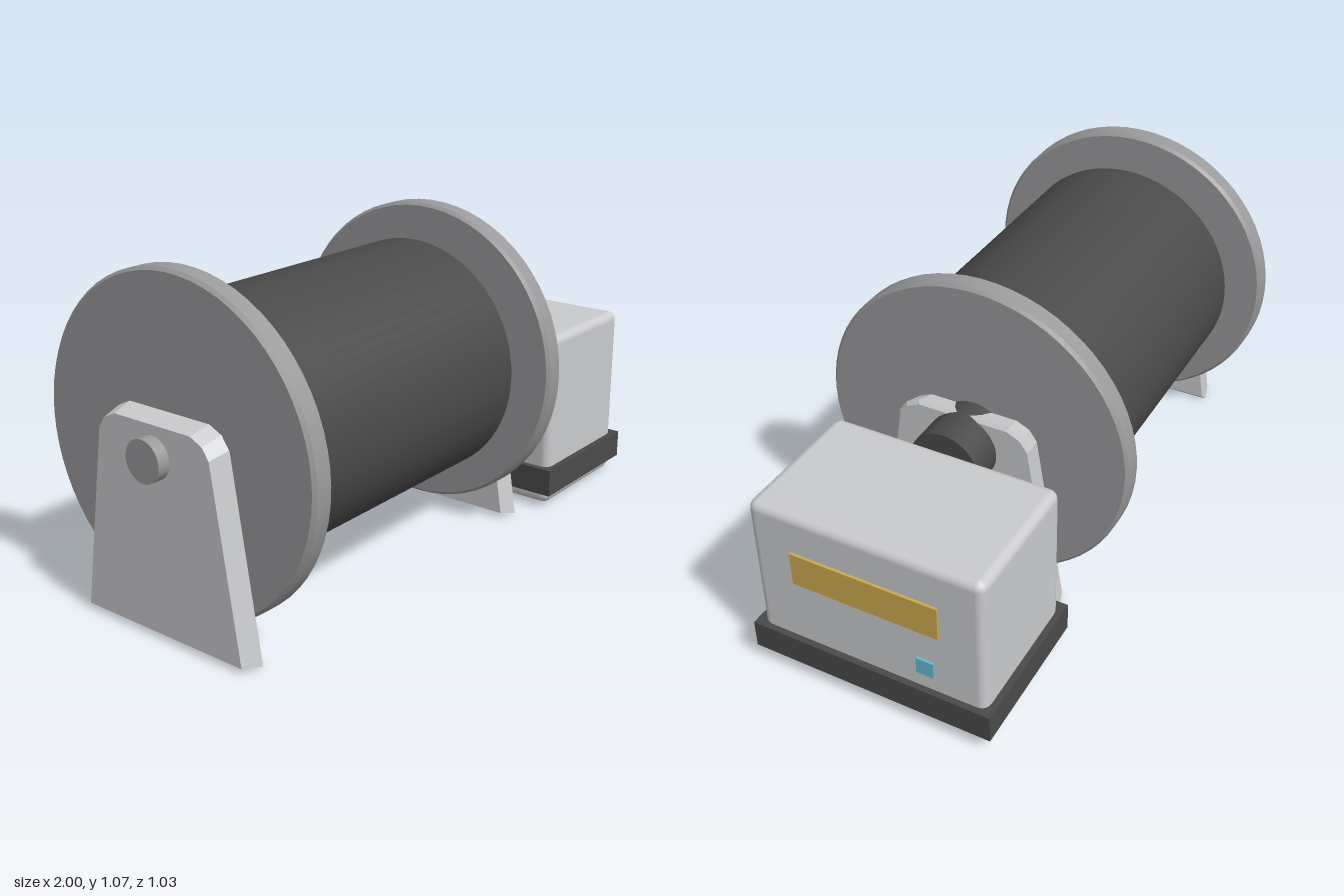
import * as THREE from 'three';
import { toCreasedNormals } from 'three/addons/utils/BufferGeometryUtils.js';
import { RoundedBoxGeometry } from 'three/addons/geometries/RoundedBoxGeometry.js';

const AXIS_Y = 0.56;

export function createModel() {
  const model = new THREE.Group();
  model.name = 'winch';

  const material = (name, color) => {
    const m = new THREE.MeshStandardMaterial({ color });
    m.name = name;
    return m;
  };
  const dark = material('dark rubber', 0x4a4a4a);
  const grey = material('mid grey metal', 0x9a9a9c);
  const silver = material('light grey metal', 0xcacbcd);
  const amber = material('amber panel', 0xcba94e);
  const cyan = material('cyan indicator', 0x66b8cd);

  const add = (name, geometry, mat, x = 0, y = 0, z = 0) => {
    const mesh = new THREE.Mesh(geometry, mat);
    mesh.name = name;
    mesh.position.set(x, y, z);
    model.add(mesh);
    return mesh;
  };

  // Box given by its limits on each axis
  const box = (name, mat, x0, x1, y0, y1, z0, z1) =>
    add(name, new THREE.BoxGeometry(x1 - x0, y1 - y0, z1 - z0), mat,
      (x0 + x1) / 2, (y0 + y1) / 2, (z0 + z1) / 2);

  // Round part on the drum axis, from x0 to x1, with an optional chamfer
  const roundPart = (name, mat, x0, x1, r, bevel = 0, sides = 64) => {
    const points = [[0, x0], [r - bevel, x0]];
    if (bevel) points.push([r, x0 + bevel], [r, x1 - bevel]);
    points.push([r - bevel, x1], [0, x1]);
    const lathe = new THREE.LatheGeometry(points.map(p => new THREE.Vector2(...p)), sides);
    lathe.rotateZ(-Math.PI / 2);
    return add(name, toCreasedNormals(lathe, 0.5), mat, 0, AXIS_Y, 0);
  };

  // Drum, core and side flanges
  roundPart('drum', dark, -0.77, 0.23, 0.4);
  roundPart('drumCore', dark, -0.82, 0.28, 0.305);
  roundPart('leftFlange', grey, 0.27, 0.345, 0.515, 0.01);
  roundPart('rightFlange', grey, -0.885, -0.81, 0.515, 0.01);

  // Axle stub and motor shaft
  roundPart('axleStub', grey, -1, -0.88, 0.065, 0, 32);
  roundPart('motorShaft', dark, 0.34, 0.53, 0.115, 0, 32);

  // Support bracket: tapered plate lofted along x through inset outlines
  const half = [[0.325, 0], [0.226, 0.615], [0.2, 0.652], [0.155, 0.673]];
  const outline = [
    [half[0][0], 0],
    ...half.map(([z, y]) => [-z, y]),
    ...half.slice(1).reverse(),
  ];
  const sections = [[0, 0.017], [0.066, 0], [0.075, 0.01]];
  const bracketGeometry = () => {
    const rings = sections.map(([x, inset]) => outline.map(([z, y]) =>
      [x, inset + y * (1 - 2 * inset / 0.673), z * (1 - inset / 0.325)]));
    const positions = [];
    const tri = (...corners) => corners.forEach(c => positions.push(...c));
    const n = outline.length;
    for (let s = 0; s < rings.length - 1; s++) {
      for (let i = 0; i < n; i++) {
        const j = (i + 1) % n;
        tri(rings[s][i], rings[s][j], rings[s + 1][j]);
        tri(rings[s][i], rings[s + 1][j], rings[s + 1][i]);
      }
    }
    const first = rings[0], last = rings[rings.length - 1];
    for (let i = 1; i < n - 1; i++) {
      tri(first[0], first[i + 1], first[i]);
      tri(last[0], last[i], last[i + 1]);
    }
    const geometry = new THREE.BufferGeometry();
    geometry.setAttribute('position', new THREE.Float32BufferAttribute(positions, 3));
    geometry.computeVertexNormals();
    return geometry;
  };
  add('rightBracket', bracketGeometry(), silver, -0.96);
  add('leftBracket', bracketGeometry(), silver, 0.341);

  // Motor housing with its base band
  add('motorHousing', new RoundedBoxGeometry(0.46, 0.61, 0.766, 2, 0.03), silver,
    0.75, 0.31, 0);
  box('baseBand', dark, 0.5, 1, 0.05, 0.145, -0.404, 0.404);

  // Control panel details on the outer end
  box('displayPanel', amber, 0.981, 0.99, 0.368, 0.482, -0.241, 0.241);
  box('indicator', cyan, 0.981, 0.99, 0.205, 0.26, -0.22, -0.163);

  return model;
}
